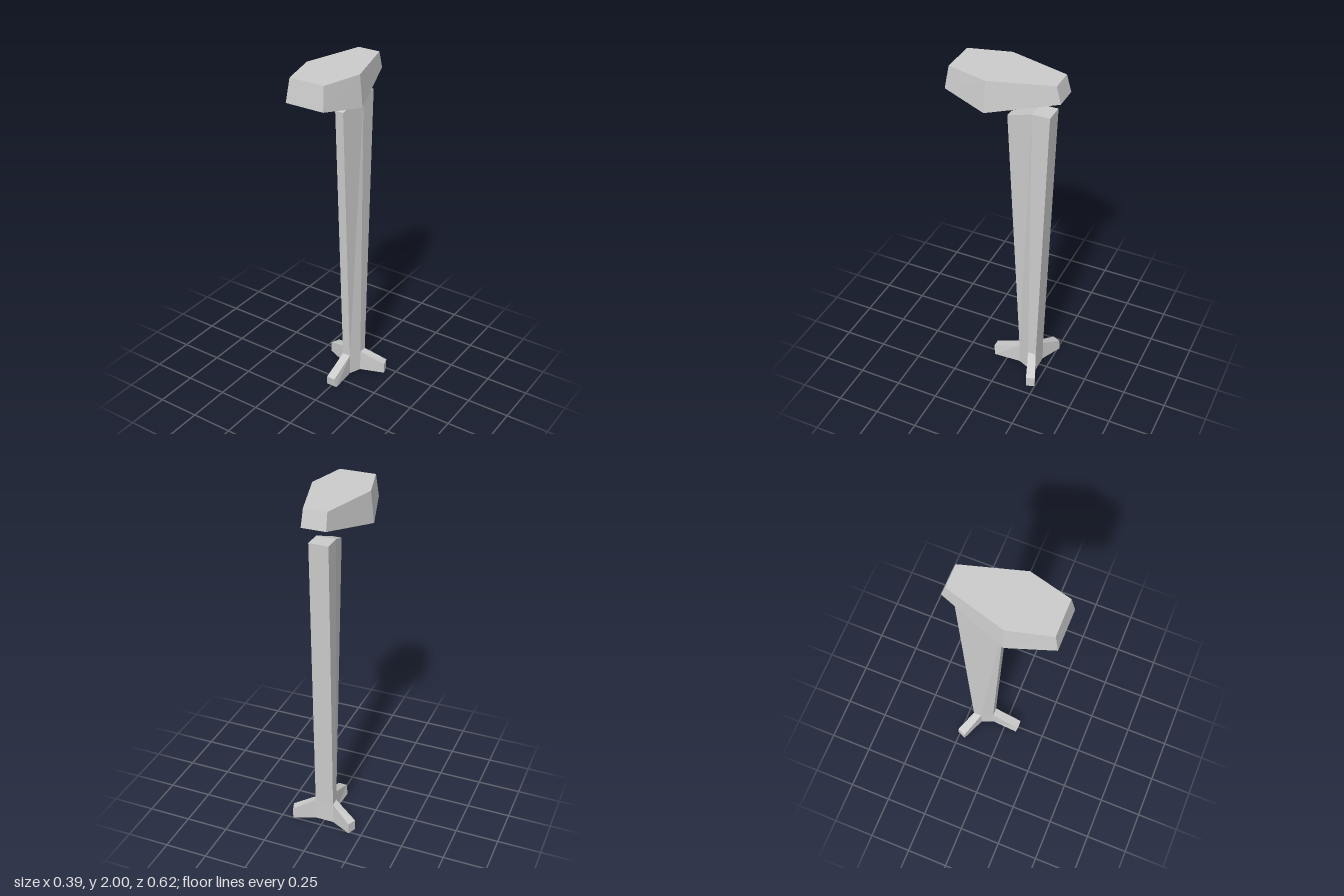
import * as THREE from 'three';

const material = new THREE.MeshStandardMaterial({ color: 0xcccccc, flatShading: true });

// Skins a stack of rings from bottom to top; each ring runs clockwise seen from above.
function loft(name, rings) {
  const n = rings[0].length;
  const pos = [];
  const quad = (a, b, c, d) => pos.push(...a, ...b, ...c, ...a, ...c, ...d);
  for (let r = 0; r < rings.length - 1; r++) {
    const lo = rings[r], hi = rings[r + 1];
    for (let i = 0; i < n; i++) {
      const j = (i + 1) % n;
      quad(lo[j], lo[i], hi[i], hi[j]);
    }
  }
  // Caps are strips of quads running across the ring
  const bottom = rings[0], top = rings[rings.length - 1];
  for (let i = 0; i < n / 2 - 1; i++) {
    quad(top[i + 1], top[i], top[n - 1 - i], top[n - 2 - i]);
    quad(bottom[i], bottom[i + 1], bottom[n - 2 - i], bottom[n - 1 - i]);
  }
  const geometry = new THREE.BufferGeometry();
  geometry.setAttribute('position', new THREE.Float32BufferAttribute(pos, 3));
  geometry.computeVertexNormals();
  const mesh = new THREE.Mesh(geometry, material);
  mesh.name = name;
  return mesh;
}

// Full ring from its +x half, listed from back to front
const mirrored = (half) => [...half, ...half.map(([x, y, z]) => [-x, y, z]).reverse()];

// Side foot: plan corners, with the top sloping down from the post
function sideFoot(name, corners) {
  const ring = (height) => corners.map(([x, z]) => [x, height(x), z]);
  return loft(name, [ring(() => 0), ring((x) => (Math.abs(x) < 0.1 ? 0.13 : 0.065))]);
}

export function createModel() {
  const model = new THREE.Group();

  // Floating six-sided head with a ridged underside
  model.add(loft('head', [
    mirrored([[0.068, 1.905, -0.31], [0.182, 1.825, 0.058], [0.114, 1.87, 0.31]]),
    mirrored([[0.065, 2, -0.285], [0.163, 2, 0.055], [0.103, 2, 0.288]]),
  ]));

  // Tapered post with a narrow front and a bevelled top
  model.add(loft('post', [
    mirrored([[0.055, 0, -0.2], [0.055, 0, -0.15], [0.025, 0, -0.08]]),
    mirrored([[0.055, 0.13, -0.2], [0.055, 0.13, -0.15], [0.025, 0.13, -0.08]]),
    mirrored([[0.055, 1.8, -0.25], [0.055, 1.8, -0.15], [0.025, 1.74, 0]]),
  ]));

  // Three feet
  model.add(loft('frontFoot', [
    mirrored([[0.025, 0, -0.08], [0.035, 0, 0.08]]),
    mirrored([[0.025, 0.13, -0.08], [0.026, 0.06, 0.09]]),
  ]));
  model.add(sideFoot('leftFoot', [[0.055, -0.2], [0.18, -0.25], [0.196, -0.2], [0.055, -0.15]]));
  model.add(sideFoot('rightFoot', [[-0.177, -0.26], [-0.055, -0.2], [-0.055, -0.15], [-0.198, -0.21]]));

  return model;
}
